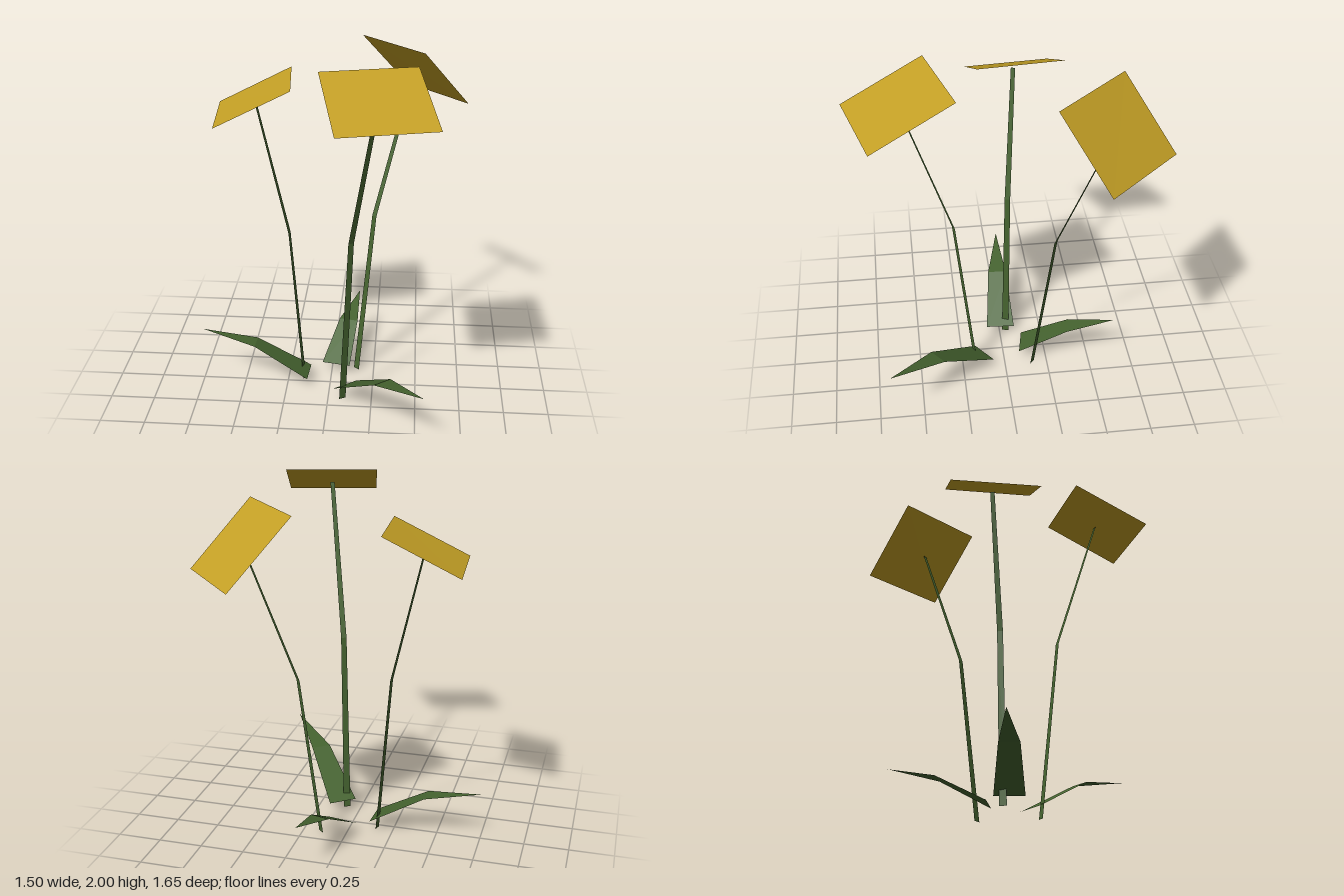
import * as THREE from 'three';

const green = new THREE.MeshStandardMaterial({ name: 'leafGreen', color: 0x45632f, side: THREE.DoubleSide });
const gold = new THREE.MeshStandardMaterial({ name: 'petalGold', color: 0xc4a025, side: THREE.DoubleSide });

// Flat-shaded strip through rows of [left point, right point]; a row with one point is a tip.
function strip(name, rows, material) {
  const pos = [];
  for (let i = 0; i < rows.length - 1; i++) {
    const [l0, r0] = rows[i];
    const [l1, r1] = rows[i + 1];
    if (r1) pos.push(...l0, ...r0, ...r1, ...l0, ...r1, ...l1);
    else pos.push(...l0, ...r0, ...l1);
  }
  const geo = new THREE.BufferGeometry();
  geo.setAttribute('position', new THREE.Float32BufferAttribute(pos, 3));
  geo.computeVertexNormals();
  const mesh = new THREE.Mesh(geo, material);
  mesh.name = name;
  return mesh;
}

// Tapering ribbon, its width level and square to the way the stem leans.
function stem(path) {
  const [a, , c] = path;
  const side = new THREE.Vector2(-(c[2] - a[2]), c[0] - a[0]).normalize();
  const rows = path.map(([x, y, z], i) => {
    const h = 0.02 - 0.004 * i;
    return [-h, h].map((s) => [x + side.x * s, y, z + side.y * s]);
  });
  return strip('stem', rows, green);
}

// Each plant: stem path, flower (inner then outer edge) and leaf (base, bend, tip).
const plants = [
  {
    name: 'frontPlant',
    stem: [[0.083, 0, 0.172], [0.132, 1.035, 0.282], [0.27, 1.89, 0.54]],
    flower: [
      [[0.46, 2, 0.27], [-0.03, 2, 0.4]],
      [[0.575, 1.81, 0.695], [0.08, 1.81, 0.825]],
    ],
    leaf: [
      [[0.16, 0.06, 0.07], [0.03, 0.06, 0.168]],
      [[0.36, 0.265, 0.37], [0.27, 0.265, 0.44]],
      [[0.54, 0.345, 0.68]],
    ],
  },
  {
    name: 'backPlant',
    stem: [[0.146, 0, -0.162], [0.235, 0.965, -0.265], [0.437, 1.755, -0.5]],
    flower: [
      [[0.14, 1.94, -0.6], [0.495, 1.94, -0.21]],
      [[0.4, 1.595, -0.83], [0.75, 1.595, -0.44]],
    ],
    leaf: [
      [[-0.055, 0.06, -0.12], [0.108, 0.06, -0.088]],
      [[0.03, 0.215, -0.39], [0.14, 0.215, -0.365]],
      [[0.14, 0.28, -0.645]],
    ],
  },
  {
    name: 'rightPlant',
    stem: [[-0.156, 0, -0.036], [-0.235, 0.935, -0.057], [-0.417, 1.69, -0.108]],
    flower: [
      [[-0.2, 1.81, 0.11], [-0.245, 1.81, -0.37]],
      [[-0.61, 1.61, 0.147], [-0.65, 1.61, -0.333]],
    ],
    leaf: [
      [[-0.13, 0.06, 0.08], [-0.12, 0.06, -0.085]],
      [[-0.44, 0.24, 0.038], [-0.435, 0.24, -0.072]],
      [[-0.755, 0.3, -0.045]],
    ],
  },
];

export function createModel() {
  const model = new THREE.Group();
  model.name = 'flowers';
  for (const p of plants) {
    const plant = new THREE.Group();
    plant.name = p.name;
    plant.add(stem(p.stem), strip('flower', p.flower, gold), strip('leaf', p.leaf, green));
    model.add(plant);
  }
  return model;
}
